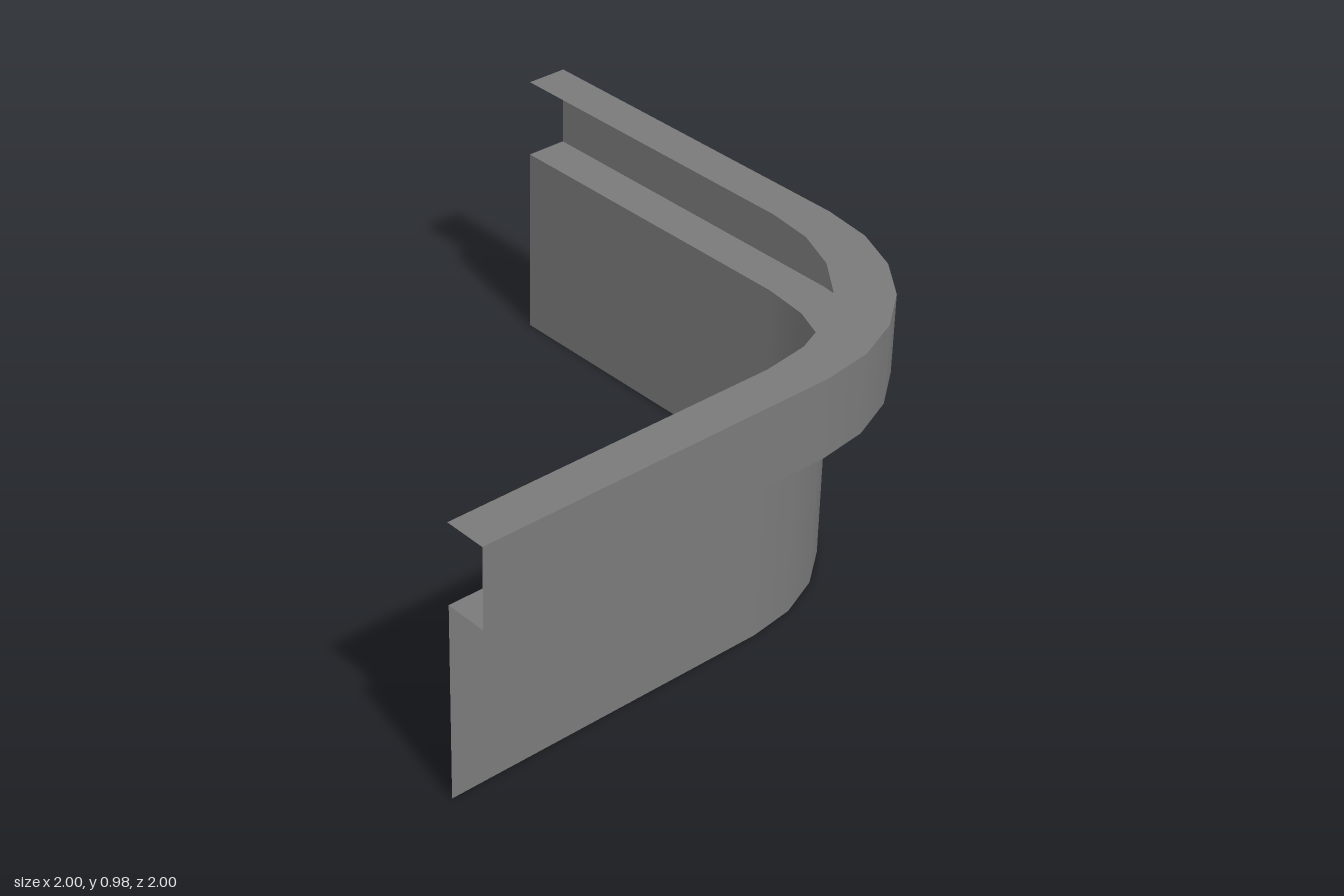
import * as THREE from 'three';

const STEPS = 6; // facets in the rounded corner

// Plan line of one edge: straight run, quarter-circle corner, straight run
function planLine({ reach, radius }) {
  const c = reach - radius;
  const points = [{ x: -1, z: reach, a: 0 }];
  for (let i = 0; i <= STEPS; i++) {
    const a = (i / STEPS) * Math.PI / 2;
    points.push({ x: c + radius * Math.sin(a), z: c + radius * Math.cos(a), a });
  }
  points.push({ x: reach, z: -1, a: Math.PI / 2 });
  return points;
}

// Thin sheet swept between two edges of the cross-section
function sheet(from, to) {
  const lineA = planLine(from.edge), lineB = planLine(to.edge);
  const dr = to.edge.reach - from.edge.reach, dy = to.y - from.y;
  const len = Math.hypot(dr, dy);
  const position = [], normal = [], index = [];
  lineA.forEach((p, i) => {
    const q = lineB[i];
    position.push(p.x, from.y, p.z, q.x, to.y, q.z);
    for (let k = 0; k < 2; k++) {
      normal.push(Math.sin(p.a) * dy / len, -dr / len, Math.cos(p.a) * dy / len);
    }
    if (i < lineA.length - 1) {
      const a = 2 * i;
      index.push(a, a + 2, a + 3, a, a + 3, a + 1);
    }
  });
  const geometry = new THREE.BufferGeometry();
  geometry.setAttribute('position', new THREE.Float32BufferAttribute(position, 3));
  geometry.setAttribute('normal', new THREE.Float32BufferAttribute(normal, 3));
  geometry.setIndex(index);
  return geometry;
}

export function createModel() {
  const group = new THREE.Group();
  group.name = 'curvedCornerWall';
  const grey = new THREE.MeshStandardMaterial({ color: 0x7a7a7a, side: THREE.DoubleSide });
  grey.name = 'grey';

  const inner = { reach: 0.85, radius: 0.65 };
  const outer = { reach: 1, radius: 0.7 };

  // Cross-section from the foot of the wall up to the top flange
  const section = [
    { edge: inner, y: 0 },
    { edge: inner, y: 0.695 },
    { edge: outer, y: 0.695 },
    { edge: outer, y: 0.975 },
    { edge: inner, y: 0.975 },
  ];
  ['lowerWall', 'ledge', 'upperBand', 'topFlange'].forEach((name, i) => {
    const mesh = new THREE.Mesh(sheet(section[i], section[i + 1]), grey);
    mesh.name = name;
    group.add(mesh);
  });
  return group;
}
